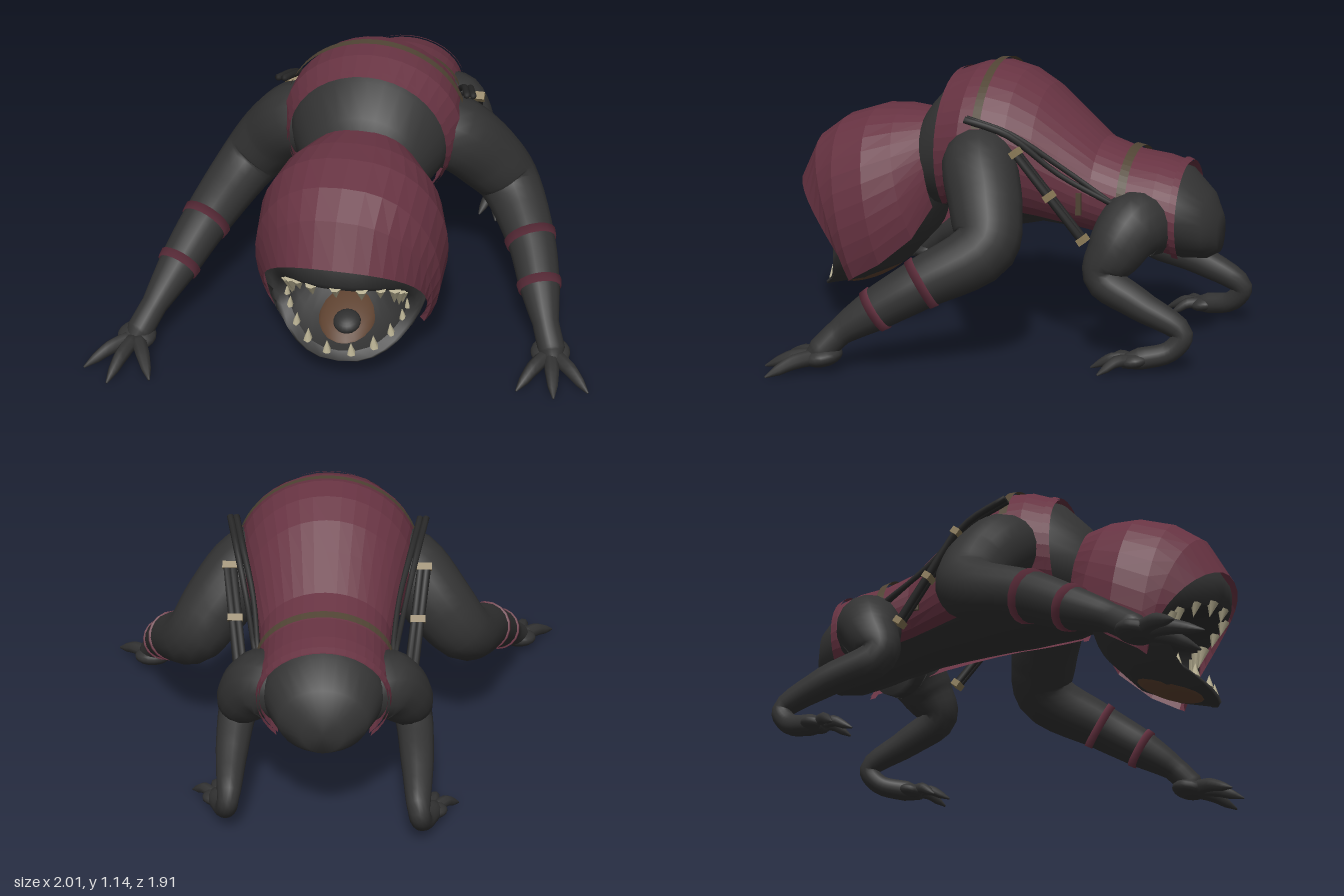
import * as THREE from 'three';

const CX = 0.027; // body midline
const V = (x, y, z) => new THREE.Vector3(x, y, z);
const times = (n, f) => Array.from({ length: n }, (_, j) => f(j));
const mat = (name, color, side = THREE.FrontSide) =>
  Object.assign(new THREE.MeshStandardMaterial({ color, side }), { name });

// Skin a list of rings (counter-clockwise about the direction of travel)
function loft(rings, { closed = true, capStart = false, capEnd = false, flat = false } = {}) {
  const n = rings[0].length, pts = rings.flat(), idx = [];
  for (let i = 0; i < rings.length - 1; i++)
    for (let j = 0; j < (closed ? n : n - 1); j++) {
      const a = i * n + j, b = i * n + (j + 1) % n;
      idx.push(a, b, a + n, b, b + n, a + n);
    }
  const cap = (i, flip) => {
    const k = pts.push(rings[i].reduce((s, p) => s.add(p), V(0, 0, 0)).divideScalar(n)) - 1;
    for (let j = 0; j < n; j++) {
      const a = i * n + j, b = i * n + (j + 1) % n;
      idx.push(k, flip ? b : a, flip ? a : b);
    }
  };
  if (capStart) cap(0, true);
  if (capEnd) cap(rings.length - 1, false);
  let g = new THREE.BufferGeometry().setFromPoints(pts).setIndex(idx);
  if (flat) g = g.toNonIndexed();
  g.computeVertexNormals();
  return g;
}

// Tapered round limb through points [x, y, z, radius]
function limb(pts, sides = 14, steps = 4) {
  const curve = new THREE.CatmullRomCurve3(pts.map(p => V(p[0], p[1], p[2])));
  const N = (pts.length - 1) * steps;
  let nrm = V(0.31, 0.2, 0.93);
  return loft(times(N + 1, i => {
    const t = i / N, f = t * (pts.length - 1), k = Math.min(Math.floor(f), pts.length - 2);
    const r = THREE.MathUtils.lerp(pts[k][3], pts[k + 1][3], f - k);
    const c = curve.getPoint(t), tan = curve.getTangent(t);
    nrm = nrm.clone().addScaledVector(tan, -nrm.dot(tan)).normalize();
    const bin = tan.clone().cross(nrm);
    return times(sides, j => {
      const a = j / sides * Math.PI * 2;
      return c.clone().addScaledVector(nrm, r * Math.cos(a)).addScaledVector(bin, r * Math.sin(a));
    });
  }), { capStart: true, capEnd: true });
}

// Tilted, slightly squared head section: top y/z, bottom y/z, half width, and how far the sides sink back
function headPoint([ty, tz, by, bz, w, dip = 0], phi, half = Math.PI) {
  const s = (Math.cos(phi) - Math.cos(half)) / (1 - Math.cos(half)), q = Math.sin(phi);
  return V(CX - w * Math.sign(q) * Math.abs(q) ** 0.82, by + (ty - by) * s, bz + (tz - bz) * s - dip * q * q);
}
const headRing = sec => times(32, j => headPoint(sec, j / 16 * Math.PI));
const hoodRing = sec => times(25, j => headPoint(sec, 2.1 * (j / 12 - 1), 2.1));

// Torso stations: z, top, bottom, half width
const TORSO = [
  [-0.905, 0.56, 0.4, 0.08], [-0.86, 0.645, 0.375, 0.17], [-0.77, 0.735, 0.37, 0.225], [-0.68, 0.76, 0.39, 0.235],
  [-0.56, 0.775, 0.42, 0.235], [-0.43, 0.82, 0.45, 0.24], [-0.3, 0.935, 0.465, 0.27], [-0.2, 1.025, 0.475, 0.297],
  [-0.1, 1.085, 0.485, 0.325], [0, 1.11, 0.49, 0.342], [0.09, 1.1, 0.5, 0.345], [0.2, 1.06, 0.5, 0.3],
  [0.3, 0.95, 0.52, 0.23], [0.37, 0.85, 0.55, 0.17],
];
function torsoArc(z, off, half, count) {
  const k = Math.max(0, TORSO.findIndex(t => t[0] >= z) - 1);
  const f = (z - TORSO[k][0]) / (TORSO[k + 1][0] - TORSO[k][0]);
  const [, top, bot, w] = TORSO[k].map((v, i) => v + (TORSO[k + 1][i] - v) * f);
  return times(count, j => {
    const a = half * (j / 14 - 1);
    return V(CX - (w + off) * Math.sin(a), (top + bot) / 2 + ((top - bot) / 2 + off) * Math.cos(a), z);
  });
}

export function createModel() {
  const root = new THREE.Group();
  root.name = 'creature';
  const skin = mat('dark skin', 0x333333);
  const cloth = mat('maroon cloth', 0x673342, THREE.DoubleSide);
  const strapMat = mat('olive strap', 0x504434, THREE.DoubleSide);
  const black = mat('black harness', 0x282828);
  const bronze = mat('bronze buckle', 0x8c7b58);
  const ivory = mat('ivory teeth', 0xb9b193);
  const mouthMat = mat('mouth lining', 0x2f2f2f);
  const tongueMat = mat('brown tongue', 0x5e4230);
  const add = (name, geo, m, parent = root) => {
    const mesh = Object.assign(new THREE.Mesh(geo, m), { name });
    parent.add(mesh);
    return mesh;
  };
  const group = name => {
    const g = Object.assign(new THREE.Group(), { name });
    root.add(g);
    return g;
  };
  const blob = (name, m, size, p, tilt, parent) => {
    const b = add(name, new THREE.SphereGeometry(1, 18, 12), m, parent);
    b.scale.set(...size);
    b.position.set(...p);
    b.rotation.x = tilt;
  };

  // Torso, vest, hems and straps
  add('torso', loft(TORSO.map(t => torsoArc(t[0], 0, Math.PI, 28)), { capStart: true, capEnd: true }), skin);
  const band = (name, zs, off, half, m) =>
    add(name, loft(zs.map(z => torsoArc(z, off, half, 29)), { closed: false, flat: true }), m);
  band('vest', [-0.77, -0.68, -0.56, -0.43, -0.3, -0.2, -0.1, 0, 0.09, 0.2], 0.02, 2.35, cloth);
  band('rearHem', [-0.775, -0.75], 0.032, 2.35, cloth);
  band('frontHem', [0.175, 0.2], 0.027, 2.35, cloth);
  band('frontStrap', [-0.005, 0.03], 0.032, 1.25, strapMat);
  band('rearStrap', [-0.575, -0.54], 0.034, 1.6, strapMat);

  // Head, mouth and hood
  const head = group('head');
  const lip = [0.5, 0.83, 0.17, 0.775, 0.245, 0.19];
  const skull = [
    [0.85, 0.3, 0.52, 0.28, 0.2], [0.88, 0.45, 0.38, 0.33, 0.315], [0.88, 0.56, 0.24, 0.46, 0.36],
    [0.82, 0.7, 0.17, 0.61, 0.345, 0.03], [0.71, 0.81, 0.14, 0.74, 0.32, 0.12],
    [0.61, 0.865, 0.13, 0.79, 0.3, 0.2], [0.54, 0.86, 0.14, 0.8, 0.275, 0.2], lip,
  ];
  add('skull', loft(skull.map(headRing), { capStart: true }), skin, head);
  const throat = [lip, [0.52, 0.66, 0.2, 0.64, 0.23, 0.08], [0.48, 0.54, 0.27, 0.53, 0.18], [0.4, 0.45, 0.32, 0.45, 0.07]];
  add('mouthLining', loft(throat.map(headRing), { capEnd: true }), mouthMat, head);
  const hood = [
    [0.91, 0.32, 0.54, 0.25, 0.24], [0.92, 0.44, 0.42, 0.31, 0.335], [0.915, 0.55, 0.31, 0.44, 0.38],
    [0.87, 0.69, 0.24, 0.56, 0.37], [0.79, 0.8, 0.22, 0.61, 0.345, 0.03], [0.625, 0.885, 0.24, 0.64, 0.325, 0.07],
  ];
  add('hood', loft(hood.map(hoodRing), { closed: false, flat: true }), cloth, head);
  // Tongue with a dark hump, bulging slightly under the jaw
  blob('tongue', tongueMat, [0.12, 0.05, 0.16], [CX, 0.213, 0.6], 0.4, head);
  blob('tongueHump', mouthMat, [0.055, 0.03, 0.055], [CX + 0.01, 0.235, 0.665], 0.4, head);

  // Teeth along the lips: angle from the top, length, radius
  const tooth = (deg, len, r, up) => {
    const p = headPoint(lip, deg * Math.PI / 180);
    const dir = V((CX - p.x) * 0.4, up ? 1 : -1, up ? 0.05 : -0.25).normalize();
    const t = add('tooth', new THREE.ConeGeometry(r, len, 7).translate(0, len / 2 - 0.012, 0), ivory, head);
    t.position.copy(p);
    t.quaternion.setFromUnitVectors(V(0, 1, 0), dir);
  };
  tooth(0, 0.06, 0.023, false);
  for (const s of [-1, 1]) {
    [[19, 0.065, 0.025], [37, 0.06, 0.023], [54, 0.09, 0.027], [62, 0.1, 0.028], [69, 0.08, 0.022]]
      .forEach(([d, l, r]) => tooth(s * d, l, r, false));
    [[8, 0.055, 0.019], [28, 0.06, 0.02], [47, 0.055, 0.018], [66, 0.05, 0.016], [82, 0.045, 0.014]]
      .forEach(([d, l, r]) => tooth(180 + s * d, l, r, true));
  }

  // Three pointed digits from a flattened palm
  const digits = (name, base, tips, r, parent) => {
    blob('palm', skin, [r * 2.5, r * 1.25, r * 2.4], base, 0.2, parent);
    for (const [x, z] of tips) {
      const at = (f, y, rad) => [base[0] + (x - base[0]) * f, y, base[2] + (z - base[2]) * f, rad];
      add(name, limb([at(0.12, base[1], r), at(0.5, 0.052, r * 0.92), at(0.78, 0.028, r * 0.65), at(1, 0.008, 0.004)], 8, 3), skin, parent);
    }
  };

  // Arms with maroon cuffs
  const arms = [
    { name: 'leftArm', base: [0.83, 0.06, 0.48], tips: [[1.0, 0.65], [0.87, 0.71], [0.72, 0.69]],
      pts: [[0.2, 0.8, 0.02, 0.13], [0.35, 0.75, 0.0, 0.155], [0.48, 0.61, -0.07, 0.145], [0.57, 0.485, -0.095, 0.128],
        [0.695, 0.35, 0.12, 0.1], [0.755, 0.245, 0.29, 0.084], [0.8, 0.155, 0.42, 0.054], [0.835, 0.08, 0.49, 0.055], [0.85, 0.05, 0.53, 0.03]] },
    { name: 'rightArm', base: [-0.83, 0.06, 0.69], tips: [[-1.0, 0.87], [-0.88, 0.95], [-0.72, 0.9]],
      pts: [[-0.15, 0.8, 0.02, 0.13], [-0.3, 0.75, 0.0, 0.155], [-0.43, 0.61, -0.06, 0.145], [-0.53, 0.485, -0.05, 0.128],
        [-0.65, 0.35, 0.24, 0.1], [-0.72, 0.245, 0.42, 0.084], [-0.78, 0.15, 0.59, 0.054], [-0.82, 0.08, 0.68, 0.055], [-0.84, 0.05, 0.72, 0.03]] },
  ];
  for (const { name, base, tips, pts } of arms) {
    const g = group(name);
    add('armSkin', limb(pts, 18, 5), skin, g);
    digits('finger', base, tips, 0.032, g);
    for (const k of [4, 5]) {
      const p = V(...pts[k]), d = V(...pts[k + 1]).sub(V(...pts[k - 1])).setLength(0.017), r = pts[k][3];
      add('cuff', limb([[...p.clone().sub(d), r + 0.008], [...p.clone().add(d), r + 0.004]], 18, 1), cloth, g);
    }
  }

  for (const s of [1, -1]) {
    // Hind legs, the right foot set further back
    const leg = group(s > 0 ? 'leftLeg' : 'rightLeg');
    const X = x => CX + s * (x - CX), dz = s > 0 ? 0 : -0.075;
    const pts = [[0.17, 0.53, -0.65, 0.13], [0.27, 0.535, -0.605, 0.137], [0.34, 0.45, -0.555, 0.115], [0.375, 0.35, -0.515, 0.077],
      [0.39, 0.26, -0.66, 0.064], [0.395, 0.155, -0.845, 0.042], [0.41, 0.085, -0.8, 0.042], [0.445, 0.055, -0.69, 0.044], [0.465, 0.04, -0.62, 0.025]];
    add('legSkin', limb(pts.map(([x, y, z, r], i) => [X(x), y, z + (i > 3 ? dz : 0), r]), 16, 5), skin, leg);
    digits('toe', [X(0.45), 0.05, -0.67 + dz], [[0.56, -0.55], [0.475, -0.5], [0.395, -0.54]].map(([x, z]) => [X(x), z + dz]), 0.025, leg);

    // Side harness: paired rods, a slanted double strap and buckles
    const g = group(s > 0 ? 'leftHarness' : 'rightHarness');
    const at = (x, y, z, r) => [CX + s * x, y, z, r];
    const A = [0.39, 0.83, -0.17], B = [0.34, 0.49, -0.43];
    for (const o of [0, 0.025]) {
      add('rod', limb([at(0.4 - o, 0.95, 0.04, 0.014), at(0.365 - o, 0.89, -0.13, 0.014),
        at(0.315 - o, 0.74 + o, -0.32, 0.011), at(0.275 - o / 2, 0.63, -0.52, 0.011)], 8), black, g);
      add('slantStrap', limb([at(A[0] + o - 0.013, A[1], A[2], 0.016), at(B[0] + o - 0.013, B[1], B[2], 0.016)], 8, 1), black, g);
    }
    for (const f of [0, 0.5, 1]) {
      const b = add('buckle', new THREE.BoxGeometry(0.06, 0.028, 0.034), bronze, g);
      b.position.lerpVectors(V(...at(...A)), V(...at(...B)), f);
      b.rotation.x = 0.65;
    }
    add('sideStrap', new THREE.BoxGeometry(0.01, 0.09, 0.022), strapMat, g).position.set(CX + s * 0.27, 0.615, -0.39);
  }
  return root;
}
